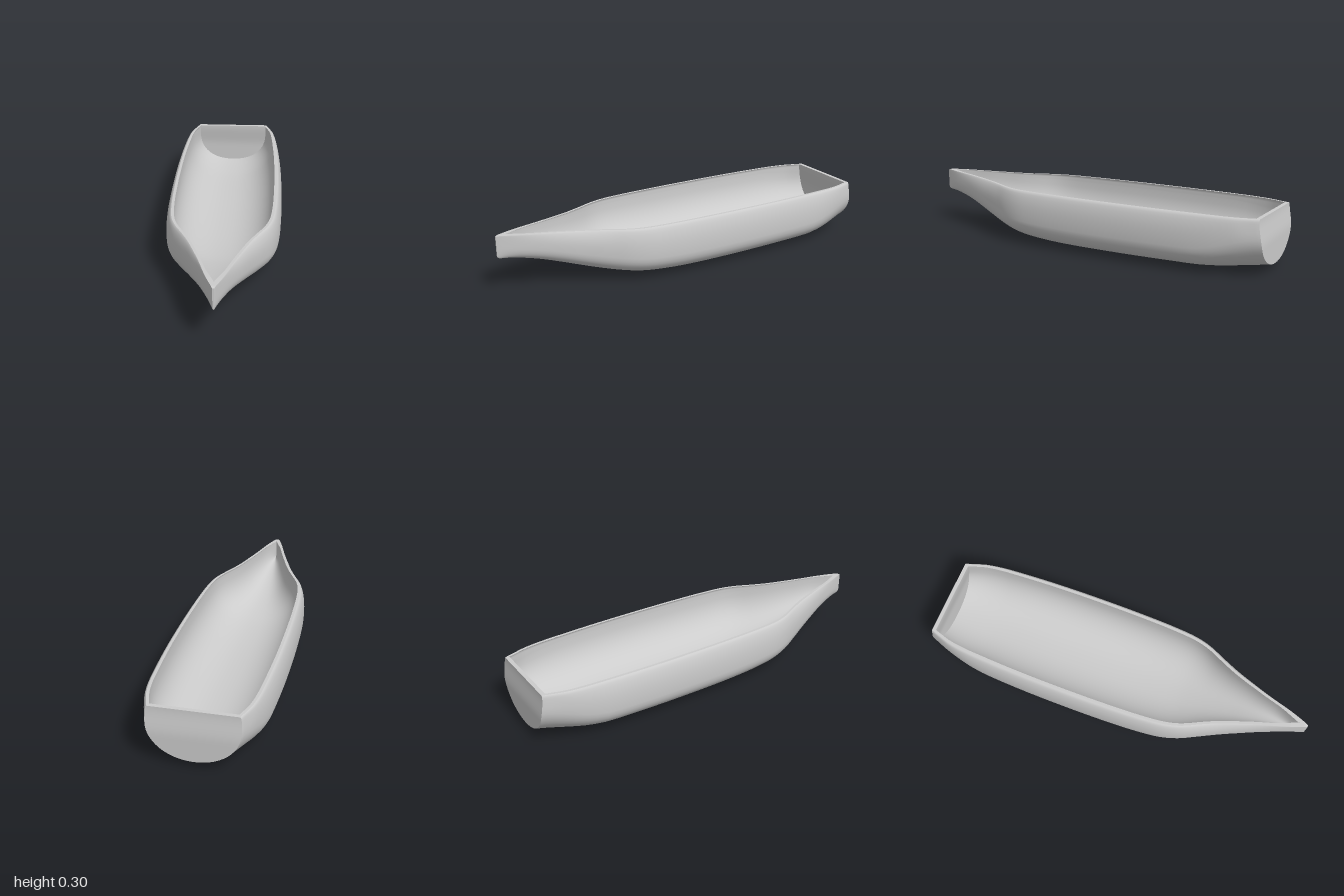
import * as THREE from 'three';

const { smoothstep, lerp } = THREE.MathUtils;

// Hull stations from stern to bow: z, half beam, keel height
const STATIONS = [
  [-1, 0.215, 0.032], [-0.98, 0.223, 0.029], [-0.88, 0.255, 0.018], [-0.75, 0.28, 0.009],
  [-0.5, 0.296, 0.005], [-0.2, 0.3, 0.002], [0.05, 0.296, 0.003], [0.2, 0.289, 0.009],
  [0.32, 0.276, 0.02], [0.41, 0.251, 0.036], [0.5, 0.21, 0.057], [0.6, 0.164, 0.085],
  [0.7, 0.123, 0.117], [0.8, 0.083, 0.147], [0.9, 0.046, 0.17], [0.955, 0.024, 0.178],
  [0.99, 0.009, 0.182], [1, 0.004, 0.19],
];
const STEPS = 4;       // samples between neighbouring stations
const LINING_END = 15; // station where the inner walls meet
const FLOOR = 0.026;   // bottom thickness

const curve = new THREE.CatmullRomCurve3(STATIONS.map(([z, w, k]) => new THREE.Vector3(w, k, z)));
const samples = curve.getPoints((STATIONS.length - 1) * STEPS);

const rimHeight = (z) => 0.286 + 0.011 * smoothstep(z, 0.35, 0.97)
  - 0.004 * smoothstep(z, 0.985, 1) - 0.002 * smoothstep(-z, 0.7, 1);

const sternBlend = (z) => 1 - smoothstep(z, -1, -0.65);

// How far the topsides lean in below the rim, as a share of the half beam
function tuckAt(z) {
  const bow = 0.07 + 0.06 * smoothstep(z, 0.35, 0.6);
  return lerp(bow, 0.02, Math.max(sternBlend(z), smoothstep(z, 0.72, 1)));
}

// The top of the stern leans forward a little
const lean = (y, z) => z + 0.015 * smoothstep(y, 0.15, 0.286) * smoothstep(-z, 0.85, 0.96);

// Half section on the +x side, from the rim down to the keel
function halfSection(width, keel, z, tuck, bilge, power) {
  const uv = [[1 - tuck - 0.025, 1], [1 - tuck - 0.007, 0.988], [1 - tuck * 0.8, 0.955]];
  for (const f of [0.85, 0.68, 0.48, 0.25]) {
    uv.push([1 - tuck * 0.8 * f ** 2.6, bilge + (0.955 - bilge) * f]);
  }
  for (let i = 0; i <= 14; i++) {
    const a = (i / 14) * Math.PI / 2;
    const c = Math.max(0, Math.cos(a));
    uv.push([c ** (2 / power), bilge * (1 - Math.sin(a) ** (2 / power))]);
  }
  uv[uv.length - 1][0] = 0;
  return uv.map(([u, v]) => {
    const y = lerp(keel, rimHeight(z), v);
    return [u * width, y, lean(y, z)];
  });
}

function outerSection({ x: width, y: keel, z }) {
  const stern = sternBlend(z);
  const power = lerp(3, 2.05, Math.max(stern, 0.35 * smoothstep(z, 0.45, 0.9)));
  return halfSection(width, keel, z, tuckAt(z), lerp(0.55, 0.72, stern), power);
}

// The lining is a rounded trough that slopes inward from just inside the rim
function innerSection({ x: width, y: keel, z }) {
  const wall = 0.014 + 0.01 * smoothstep(z, 0.82, 0.95);
  const rim = Math.max(0, width * (0.975 - tuckAt(z)) - wall);
  return halfSection(rim / 0.975, keel + FLOOR, z, 0, lerp(0.86, 0.74, sternBlend(z)), 2.25);
}

const mirror = (points) => points.map(([x, y, z]) => [-x, y, z]);
const fullSection = (half) => [...half, ...mirror(half).reverse().slice(1)];

// Skin over rows of points that all have the same length
function loft(name, rows, flip = false) {
  const n = rows[0].length;
  const index = [];
  for (let i = 0; i < rows.length - 1; i++) {
    for (let j = 0; j < n - 1; j++) {
      const a = i * n + j, b = a + n, c = a + 1, d = b + 1;
      index.push(...(flip ? [a, c, b, b, c, d] : [a, b, c, b, d, c]));
    }
  }
  const geometry = new THREE.BufferGeometry();
  geometry.setAttribute('position', new THREE.Float32BufferAttribute(rows.flat(2), 3));
  geometry.setIndex(index);
  geometry.computeVertexNormals();
  const material = new THREE.MeshStandardMaterial({ color: 0xcccccc, side: THREE.DoubleSide });
  const mesh = new THREE.Mesh(geometry, material);
  mesh.name = name;
  return mesh;
}

export function createModel() {
  const boat = new THREE.Group();
  boat.name = 'boatHull';

  const outer = samples.map(outerSection);
  const inner = samples.map(innerSection);
  const last = outer.length - 1;

  // Outer skin and the lining, which stops short of stern and stem
  boat.add(loft('outerHull', outer.map(fullSection)));
  const lining = inner.slice(STEPS, LINING_END * STEPS + 1);
  boat.add(loft('innerHull', lining.map(fullSection), true));

  // Flat ends: transom outside and inside, and the narrow stem
  boat.add(loft('transom', [outer[0], mirror(outer[0])], true));
  boat.add(loft('innerTransom', [lining[0], mirror(lining[0])]));
  boat.add(loft('stem', [outer[last], mirror(outer[last])]));

  // Rim along both sides and across the stern
  const left = outer.map((section, i) => [inner[i][0], section[0]]);
  boat.add(loft('leftGunwale', left));
  boat.add(loft('rightGunwale', left.map((row) => mirror(row).reverse())));
  const sternRim = inner.slice(0, STEPS + 1).map(([[x, y, z]]) => [[-x, y, z], [x, y, z]]);
  boat.add(loft('sternRim', sternRim));

  return boat;
}
